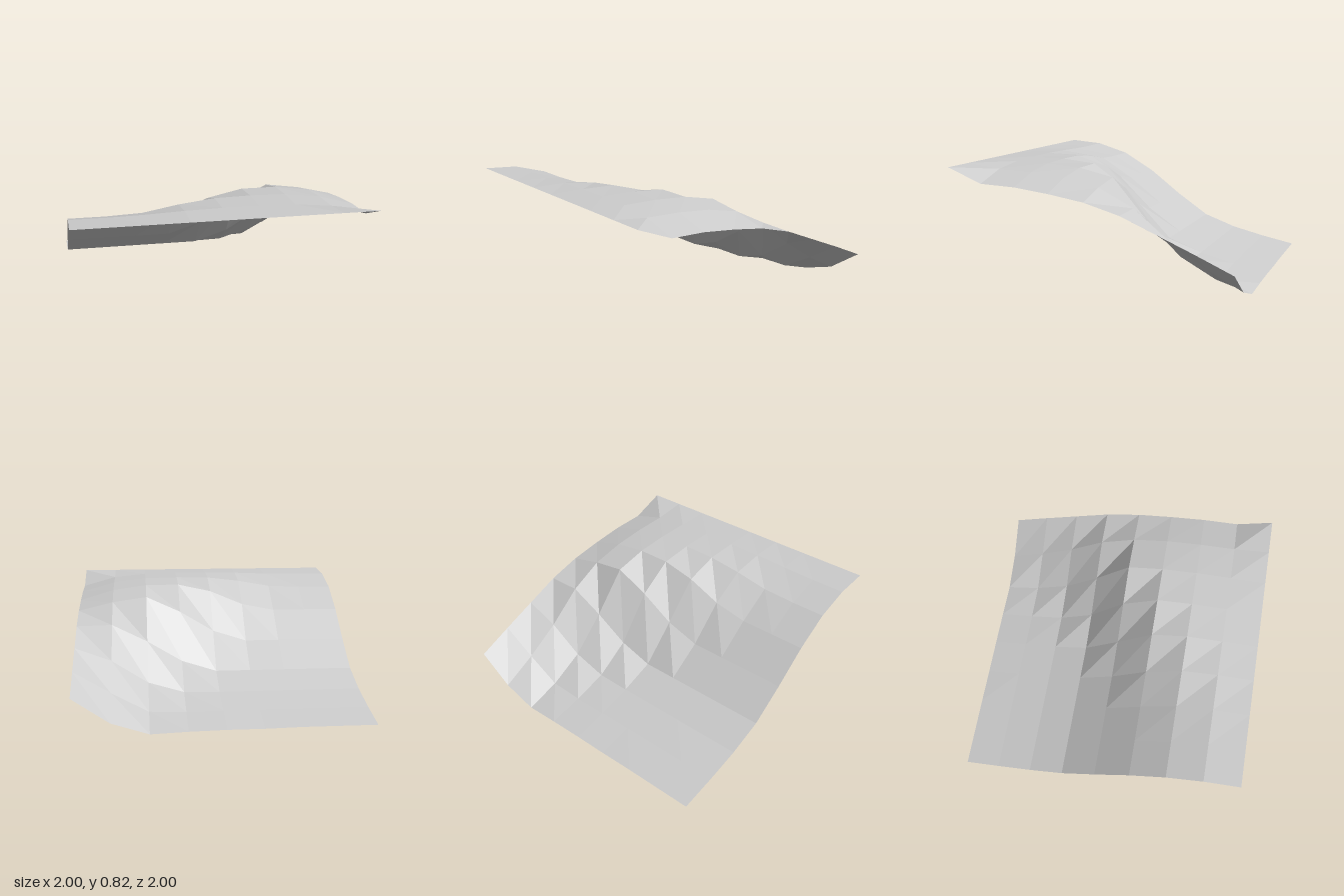
import * as THREE from 'three';

// Heights of the hillside, one row per step from the back (z = -1) to the front (z = 1)
const HEIGHTS = [
  [0.02, 0.02, 0.02, 0.015, 0.015, 0.01, 0.0, 0.08, 0.25],
  [0.07, 0.07, 0.07, 0.07, 0.07, 0.065, 0.075, 0.21, 0.36],
  [0.13, 0.13, 0.13, 0.13, 0.13, 0.135, 0.21, 0.37, 0.465],
  [0.22, 0.22, 0.22, 0.22, 0.22, 0.3, 0.45, 0.575, 0.57],
  [0.39, 0.39, 0.39, 0.39, 0.47, 0.62, 0.735, 0.7, 0.64],
  [0.58, 0.58, 0.58, 0.63, 0.735, 0.79, 0.79, 0.755, 0.68],
  [0.725, 0.725, 0.735, 0.78, 0.81, 0.815, 0.81, 0.78, 0.71],
  [0.8, 0.8, 0.805, 0.815, 0.82, 0.82, 0.815, 0.79, 0.72],
  [0.82, 0.82, 0.82, 0.82, 0.82, 0.82, 0.82, 0.82, 0.82],
];

// Square grid sheet, each cell split from its back-right to its front-left corner
function heightSheet(rows, size) {
  const n = rows.length;
  const step = size / (n - 1);
  const positions = [];
  const indices = [];
  rows.forEach((row, j) => row.forEach((y, i) => {
    positions.push(i * step - size / 2, y, j * step - size / 2);
  }));
  for (let j = 0; j < n - 1; j++) {
    for (let i = 0; i < n - 1; i++) {
      const a = j * n + i;
      const b = a + n;
      indices.push(a, b, b + 1, a, b + 1, a + 1);
    }
  }
  const indexed = new THREE.BufferGeometry();
  indexed.setAttribute('position', new THREE.Float32BufferAttribute(positions, 3));
  indexed.setIndex(indices);
  const geometry = indexed.toNonIndexed();
  geometry.computeVertexNormals();
  return geometry;
}

export function createModel() {
  const group = new THREE.Group();
  group.name = 'terrainTile';

  const stone = new THREE.MeshStandardMaterial({
    color: 0xcccccc, flatShading: true, side: THREE.DoubleSide,
  });
  stone.name = 'lightGrey';

  // Sloping ground sheet
  const ground = new THREE.Mesh(heightSheet(HEIGHTS, 2), stone);
  ground.name = 'hillside';
  group.add(ground);
  return group;
}
